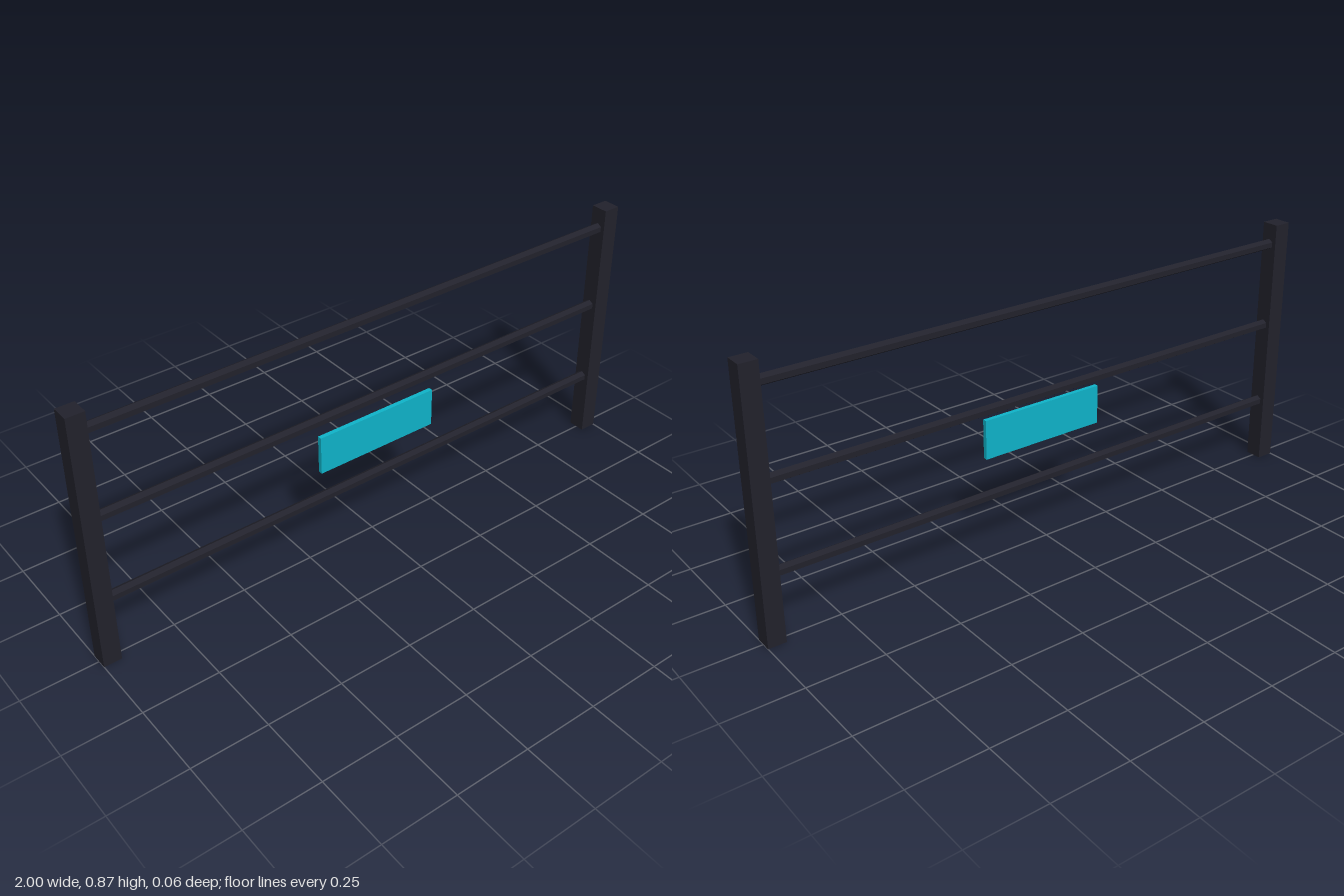
import * as THREE from 'three';

export function createModel() {
  const frame = new THREE.MeshStandardMaterial({ color: 0x22222c });
  frame.name = 'dark frame';
  const cyan = new THREE.MeshStandardMaterial({ color: 0x0fb5cb });
  cyan.name = 'cyan panel';

  const model = new THREE.Group();
  model.name = 'railFence';

  const add = (name, geometry, material, x, y, z) => {
    const mesh = new THREE.Mesh(geometry, material);
    mesh.name = name;
    mesh.position.set(x, y, z);
    model.add(mesh);
  };

  // Square end posts
  const height = 0.866, width = 0.058;
  const postGeometry = new THREE.BoxGeometry(width, height, width);
  const postX = 1 - width / 2;
  add('leftPost', postGeometry, frame, postX, height / 2, 0);
  add('rightPost', postGeometry, frame, -postX, height / 2, 0);

  // Hexagonal rails with an edge on top, made flat-sided by splitting vertices
  const railGeometry = new THREE.CylinderGeometry(0.0175, 0.0175, postX * 2, 6)
    .rotateY(Math.PI / 2)
    .rotateZ(Math.PI / 2)
    .toNonIndexed();
  railGeometry.computeVertexNormals();
  const rails = { lowerRail: 0.219, middleRail: 0.507, upperRail: 0.796 };
  for (const [name, y] of Object.entries(rails)) {
    add(name, railGeometry, frame, 0, y, 0);
  }

  // Small sign panel in front of the rails
  add('signPanel', new THREE.BoxGeometry(0.433, 0.13, 0.0145), cyan, 0, 0.399, 0.0217);

  return model;
}
